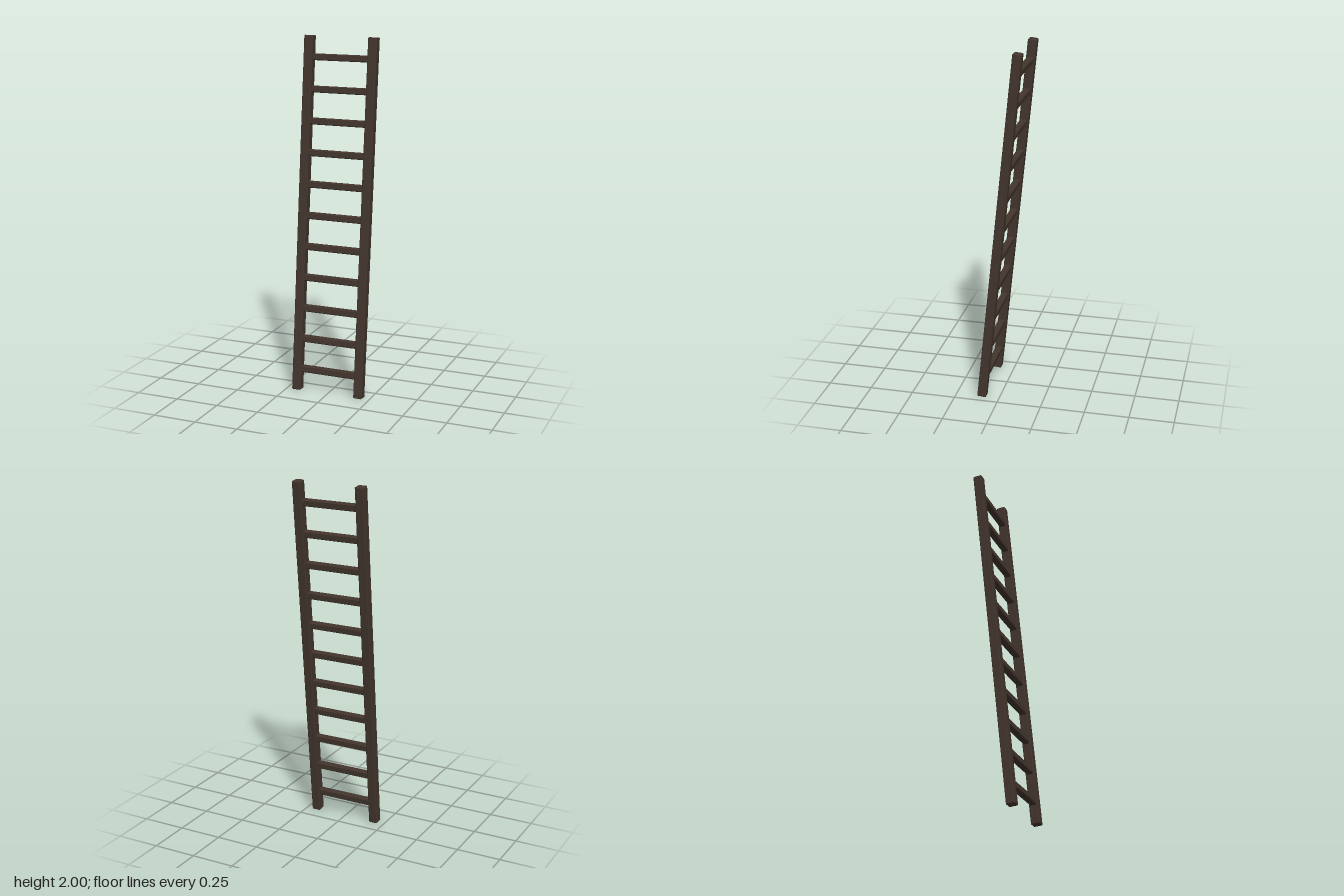
import * as THREE from 'three';
import { ConvexGeometry } from 'three/addons/geometries/ConvexGeometry.js';

// Box with all edges chamfered by c
function chamferBox(w, h, d, c) {
  const points = [];
  for (const x of [-1, 1]) for (const y of [-1, 1]) for (const z of [-1, 1]) {
    const X = w / 2, Y = h / 2, Z = d / 2;
    points.push(
      new THREE.Vector3(x * X, y * (Y - c), z * (Z - c)),
      new THREE.Vector3(x * (X - c), y * Y, z * (Z - c)),
      new THREE.Vector3(x * (X - c), y * (Y - c), z * Z));
  }
  return new ConvexGeometry(points);
}

export function createModel() {
  const wood = new THREE.MeshStandardMaterial({ color: 0x43352d, flatShading: true });
  wood.name = 'dark wood';

  const model = new THREE.Group();
  model.name = 'ladder';
  const lean = 0.101;

  // Leaning frame, built upright about its centre and then tilted back
  const frame = new THREE.Group();
  frame.name = 'leaningFrame';
  frame.position.y = 1;
  frame.rotation.x = -lean;
  model.add(frame);

  // Side rails
  const railGeometry = chamferBox(0.051, 2.005, 0.05, 0.004);
  for (const side of [-1, 1]) {
    const rail = new THREE.Mesh(railGeometry, wood);
    rail.name = side > 0 ? 'leftRail' : 'rightRail';
    rail.position.x = side * 0.1875;
    frame.add(rail);
  }

  // Evenly spaced rungs
  const rungGeometry = chamferBox(0.36, 0.037, 0.037, 0.004);
  const count = 11, spacing = 0.1755 / Math.cos(lean);
  for (let i = 0; i < count; i++) {
    const rung = new THREE.Mesh(rungGeometry, wood);
    rung.name = `rung${i + 1}`;
    rung.position.y = (i - (count - 1) / 2) * spacing + 0.003;
    frame.add(rung);
  }
  return model;
}
